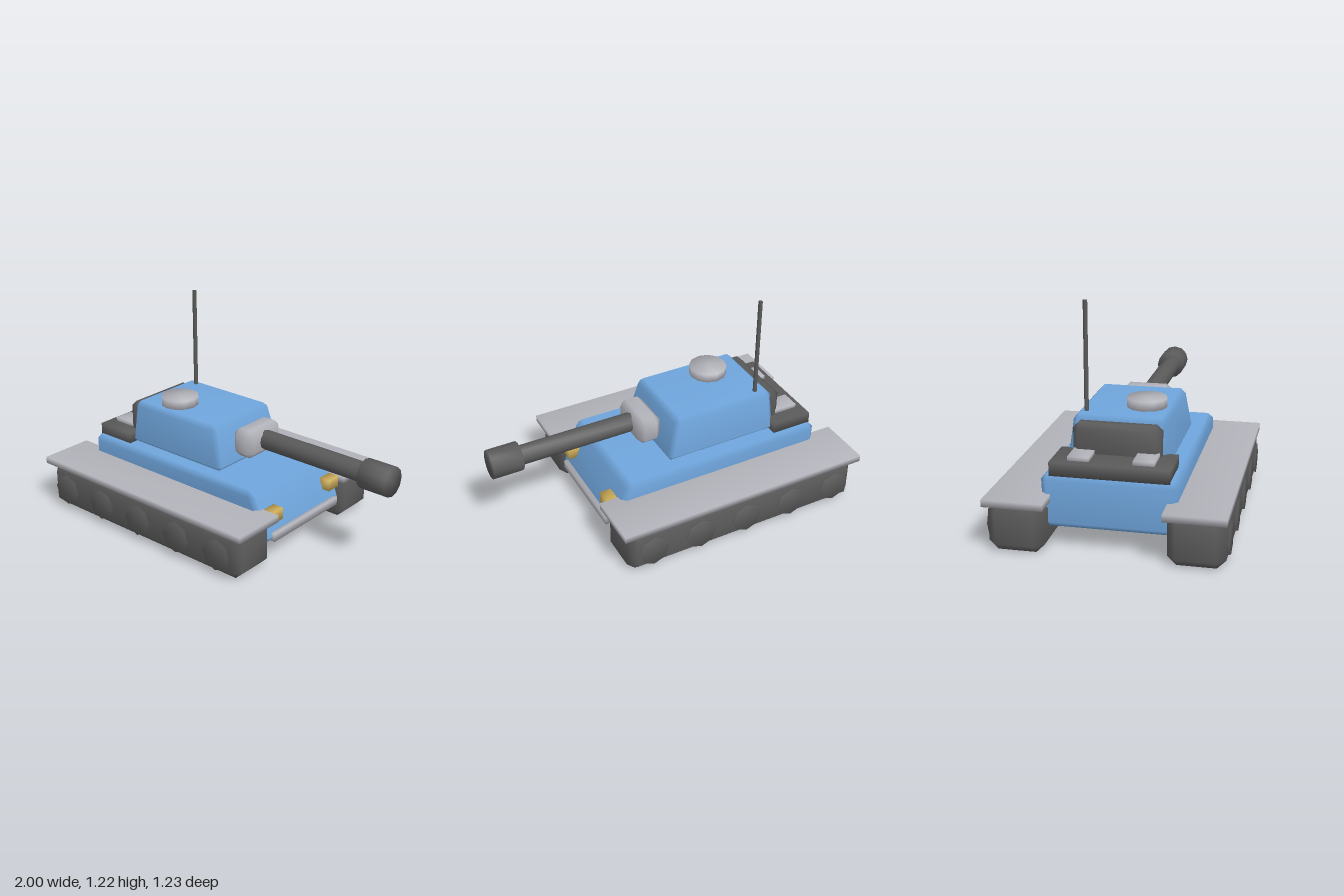
import * as THREE from 'three';
import { mergeVertices } from 'three/addons/utils/BufferGeometryUtils.js';
import { ConvexGeometry } from 'three/addons/geometries/ConvexGeometry.js';

const paint = (name, color) => {
  const m = new THREE.MeshStandardMaterial({ color });
  m.name = name;
  return m;
};

// Share corner vertices so shading flows softly over the edges
function smooth(geo) {
  geo.deleteAttribute('normal');
  if (geo.attributes.uv) geo.deleteAttribute('uv');
  const out = mergeVertices(geo, 1e-4);
  out.computeVertexNormals();
  return out;
}

// Box given by its limits, with chamfered edges; warp may shift each corner point
function chamferBox([x0, x1], [y0, y1], [z0, z1], b, warp = () => {}) {
  const points = [];
  for (const sx of [0, 1]) for (const sy of [0, 1]) for (const sz of [0, 1]) {
    for (const keep of [0, 1, 2]) {
      const inset = [0, 1, 2].map((axis) => (axis === keep ? 0 : b));
      const p = new THREE.Vector3(
        sx ? x1 - inset[0] : x0 + inset[0],
        sy ? y1 - inset[1] : y0 + inset[1],
        sz ? z1 - inset[2] : z0 + inset[2]);
      warp(p);
      points.push(p);
    }
  }
  return smooth(new ConvexGeometry(points));
}

function plainBox([x0, x1], [y0, y1], [z0, z1]) {
  const g = new THREE.BoxGeometry(x1 - x0, y1 - y0, z1 - z0);
  g.translate((x0 + x1) / 2, (y0 + y1) / 2, (z0 + z1) / 2);
  return smooth(g);
}

const rod = (r, length, sides) => smooth(new THREE.CylinderGeometry(r, r, length, sides));

export function createModel() {
  const blue = paint('blue armour', 0x6fa5dc);
  const dark = paint('dark metal', 0x5a5a5a);
  const grey = paint('light grey metal', 0xb2b2ba);
  const yellow = paint('lamp yellow', 0xd2b15a);

  const model = new THREE.Group();
  model.name = 'tank';
  const add = (name, geo, mat, x = 0, y = 0, z = 0, parent = model) => {
    const mesh = new THREE.Mesh(geo, mat);
    mesh.name = name;
    mesh.position.set(x, y, z);
    parent.add(mesh);
    return mesh;
  };

  // Hull with sloping nose and slightly narrower belly
  add('hull', chamferBox([-0.86, 0.46], [0.11, 0.39], [-0.352, 0.352], 0.03, (p) => {
    const t = (p.y - 0.11) / 0.28;
    if (p.x > 0) p.x -= 0.11 * t;
    p.z *= 0.965 + 0.035 * t;
  }), blue);
  add('nosePlate', plainBox([0.42, 0.465], [0.113, 0.16], [-0.285, 0.285]), grey);

  // Running gear, fenders and lamps on both sides
  for (const s of [1, -1]) {
    const side = new THREE.Group();
    side.name = s > 0 ? 'trackNearSide' : 'trackFarSide';
    model.add(side);
    const span = (a, b) => (s > 0 ? [a, b] : [-b, -a]);
    add('track', chamferBox([-0.97, 0.47], [0, 0.26], span(0.31, 0.602), 0.046), dark, 0, 0, 0, side);
    add('fender', plainBox([-1, 0.5], [0.252, 0.29], span(0.297, 0.612)), grey, 0, 0, 0, side);
    add('headlamp', plainBox([0.395, 0.46], [0.222, 0.288], span(0.21, 0.296)), yellow, 0, 0, 0, side);
    for (let i = 0; i < 5; i++) {
      const wheel = add('roadWheel', rod(0.09, 0.03, 8), dark, -0.83 + i * 0.29, 0.128, s * 0.598, side);
      wheel.rotation.x = Math.PI / 2;
    }
    add('engineGrille', plainBox([-0.8, -0.645], [0.44, 0.475], span(0.112, 0.222)), grey, 0, 0, 0, side);
  }

  // Engine deck at the rear
  add('engineDeck', plainBox([-0.84, -0.6], [0.375, 0.453], [-0.308, 0.308]), dark);

  // Turret tapering upward, steepest at its front
  add('turret', chamferBox([-0.625, 0.065], [0.385, 0.635], [-0.272, 0.272], 0.026, (p) => {
    const t = (p.y - 0.385) / 0.25;
    p.x += p.x > -0.3 ? -0.068 * t : 0.012 * t;
    p.z *= 1 - 0.12 * t;
  }), blue);
  add('stowageBin', chamferBox([-0.68, -0.58], [0.4, 0.61], [-0.23, 0.23], 0.03), dark);
  add('hatch', rod(0.108, 0.06, 12), grey, -0.388, 0.655, 0.1);
  add('antenna', rod(0.012, 0.615, 8), dark, -0.53, 0.908, -0.19);

  // Gun
  add('mantlet', chamferBox([0.035, 0.175], [0.445, 0.607], [-0.14, 0.14], 0.034), grey);
  add('barrel', rod(0.055, 0.74, 12), dark, 0.48, 0.532).rotation.z = -Math.PI / 2;
  add('muzzle', rod(0.082, 0.17, 12), dark, 0.915, 0.532).rotation.z = -Math.PI / 2;

  return model;
}
